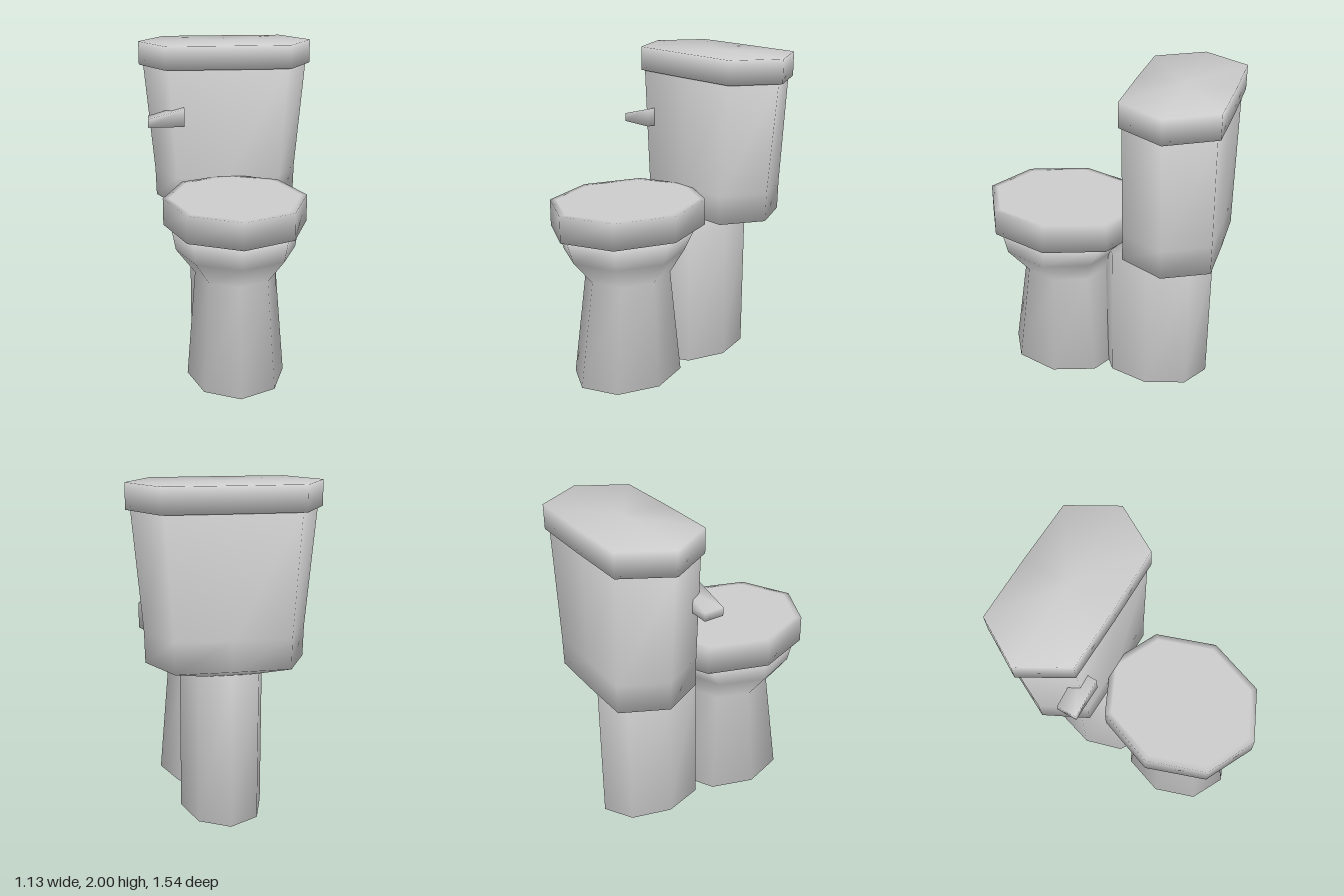
import * as THREE from 'three';
import { mergeVertices } from 'three/addons/utils/BufferGeometryUtils.js';

const material = new THREE.MeshStandardMaterial({ color: 0xcccccc });
const D = Math.SQRT1_2;

// Unit outlines, anticlockwise from the front: [x, z]
const octagon = [[0, 1], [D, D], [1, 0], [D, -D], [0, -1], [-D, -D], [-1, 0], [-D, D]];
const tankOutline = octagon.map(([x, z]) => [x, Math.abs(z) > 0.9 ? z : z * 0.985 / D]);

// Closed smooth loft through rings [y, halfX, halfZ, centreZ], with end points at bottomY and topY
function loft(name, outline, rings, bottomY = rings[0][0], topY = rings.at(-1)[0]) {
  const n = outline.length, pos = [], idx = [];
  for (const [y, rx, rz, cz] of rings)
    for (const [x, z] of outline) pos.push(x * rx, y, cz + z * rz);
  const bottom = n * rings.length, top = bottom + 1, last = n * (rings.length - 1);
  pos.push(0, bottomY, rings[0][3], 0, topY, rings.at(-1)[3]);
  for (let i = 0; i < n; i++) {
    const j = (i + 1) % n;
    for (let r = 0; r < last; r += n)
      idx.push(r + i, r + j, r + n + j, r + i, r + n + j, r + n + i);
    idx.push(j, i, bottom, last + i, last + j, top);
  }
  const g = new THREE.BufferGeometry();
  g.setAttribute('position', new THREE.Float32BufferAttribute(pos, 3));
  g.setIndex(idx);
  g.computeVertexNormals();
  const mesh = new THREE.Mesh(g, material);
  mesh.name = name;
  return mesh;
}

// Flush handle: a box whose top slopes down to the outer end
function makeLever() {
  let g = new THREE.BoxGeometry(0.23, 0.115, 0.125);
  g.deleteAttribute('normal');
  g.deleteAttribute('uv');
  g = mergeVertices(g);
  const p = g.attributes.position;
  for (let i = 0; i < p.count; i++)
    if (p.getX(i) < 0 && p.getY(i) > 0) p.setY(i, -0.005);
  g.computeVertexNormals();
  const lever = new THREE.Mesh(g, material);
  lever.name = 'flushLever';
  lever.position.set(-0.398, 1.557, -0.212);
  return lever;
}

export function createModel() {
  const model = new THREE.Group();
  model.name = 'toilet';
  model.add(
    // Flared bowl on its foot
    loft('bowl', octagon, [
      [0, 0.305, 0.373, 0.272],
      [0.68, 0.25, 0.28, 0.265],
      [0.84, 0.365, 0.385, 0.295],
      [0.99, 0.395, 0.465, 0.265],
    ]),
    // Closed seat with an inset on top
    loft('seat', octagon, [
      [0.99, 0.437, 0.51, 0.26],
      [1.155, 0.437, 0.51, 0.26],
      [1.155, 0.4, 0.468, 0.26],
    ]),
    // Column behind the bowl that carries the tank
    loft('rearPedestal', octagon, [
      [0, 0.25, 0.35, -0.35],
      [0.89, 0.25, 0.35, -0.35],
    ], 0, 0.935),
    // Tank with a tapering underside
    loft('tank', tankOutline, [
      [0.905, 0.2, 0.13, -0.477],
      [0.967, 0.467, 0.273, -0.477],
      [1.15, 0.472, 0.273, -0.477],
      [1.85, 0.535, 0.273, -0.477],
    ]),
    // Overhanging tank lid
    loft('tankLid', tankOutline, [
      [1.85, 0.563, 0.29, -0.48],
      [2, 0.563, 0.29, -0.48],
    ]),
    makeLever(),
  );
  return model;
}
